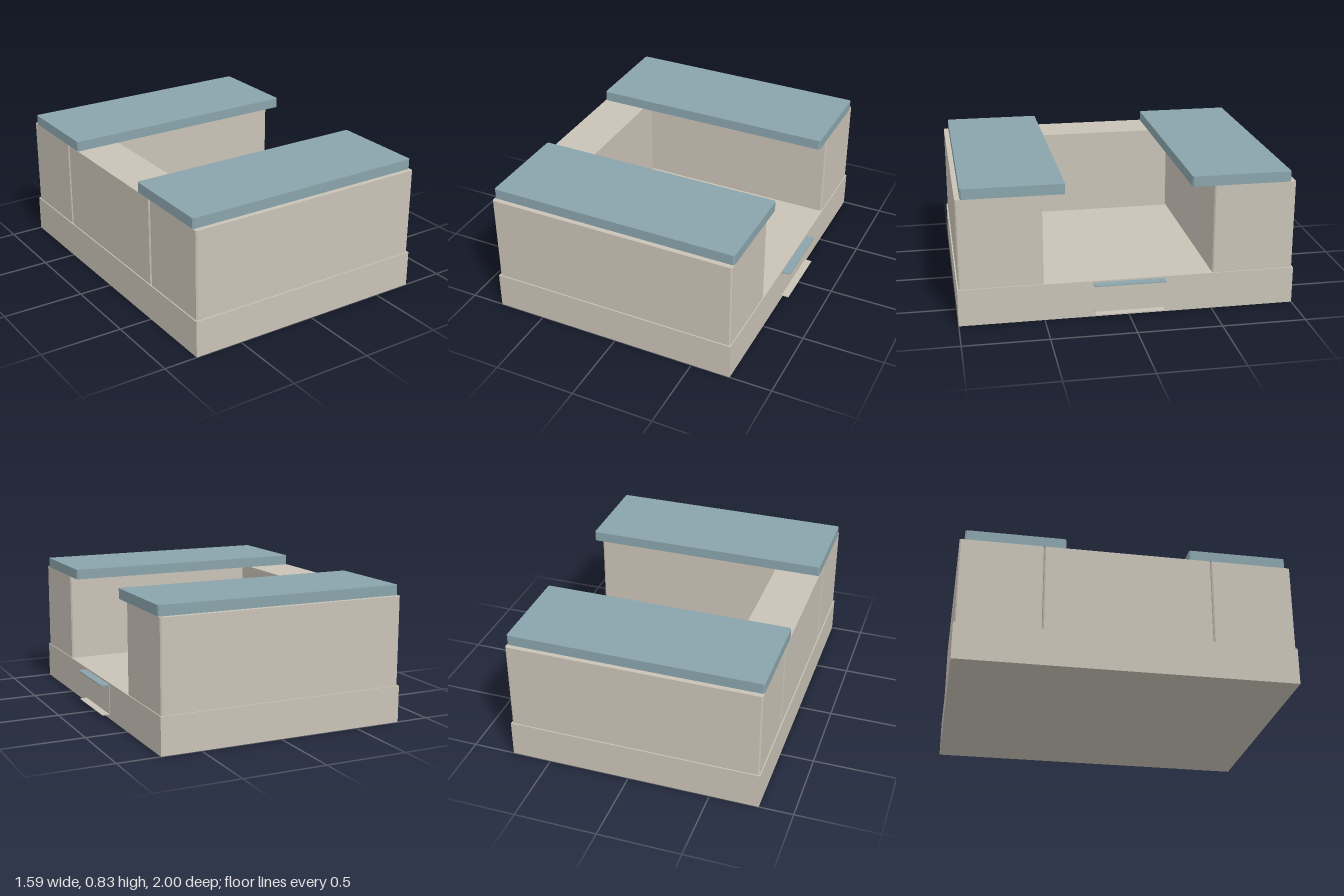
import * as THREE from 'three';

export function createModel() {
  const model = new THREE.Group();
  const stone = new THREE.MeshStandardMaterial({ color: 0xc9c2b6 });
  stone.name = 'warm stone';
  const slate = new THREE.MeshStandardMaterial({ color: 0x8aa4ac });
  slate.name = 'blue slate';

  // Upright block with a bevel of width c on its four vertical edges
  function block(name, material, [x0, x1], [y0, y1], [z0, z1], c = 0) {
    let geometry;
    if (c > 0) {
      const plan = new THREE.Shape([
        [x0 + c, -z1], [x1 - c, -z1], [x1, -z1 + c], [x1, -z0 - c],
        [x1 - c, -z0], [x0 + c, -z0], [x0, -z0 - c], [x0, -z1 + c],
      ].map(([x, y]) => new THREE.Vector2(x, y)));
      geometry = new THREE.ExtrudeGeometry(plan, { depth: y1 - y0, bevelEnabled: false });
      geometry.rotateX(-Math.PI / 2).translate(0, y0, 0);
    } else {
      geometry = new THREE.BoxGeometry(x1 - x0, y1 - y0, z1 - z0);
      geometry.translate((x0 + x1) / 2, (y0 + y1) / 2, (z0 + z1) / 2);
    }
    const mesh = new THREE.Mesh(geometry, material);
    mesh.name = name;
    model.add(mesh);
  }

  // Plinth and the rear block closing the courtyard
  block('plinth', stone, [-0.795, 0.742], [0, 0.225], [-1, 1]);
  block('rearBlock', stone, [-0.788, -0.505], [0.225, 0.766], [-0.498, 0.498], 0.008);

  // Two wings with overhanging flat roofs
  for (const s of [1, -1]) {
    const side = s > 0 ? 'front' : 'back';
    const span = (a, b) => [s * a, s * b].sort((p, q) => p - q);
    block(side + 'Wing', stone, [-0.788, 0.736], [0.225, 0.766], span(0.502, 0.992), 0.008);
    block(side + 'Roof', slate, [-0.788, 0.736], [0.766, 0.828], span(0.37, 0.962), 0.009);
  }

  // Entrance panel, step and canopy on the open side
  block('entrancePanel', stone, [0.741, 0.745], [0.026, 0.21], [-0.206, 0.206]);
  block('entranceStep', stone, [0.742, 0.79], [0.026, 0.03], [-0.206, 0.206]);
  block('canopy', slate, [0.742, 0.795], [0.209, 0.215], [-0.213, 0.213], 0.006);
  block('canopyLip', slate, [0.742, 0.75], [0.2, 0.209], [-0.206, 0.206]);

  return model;
}
